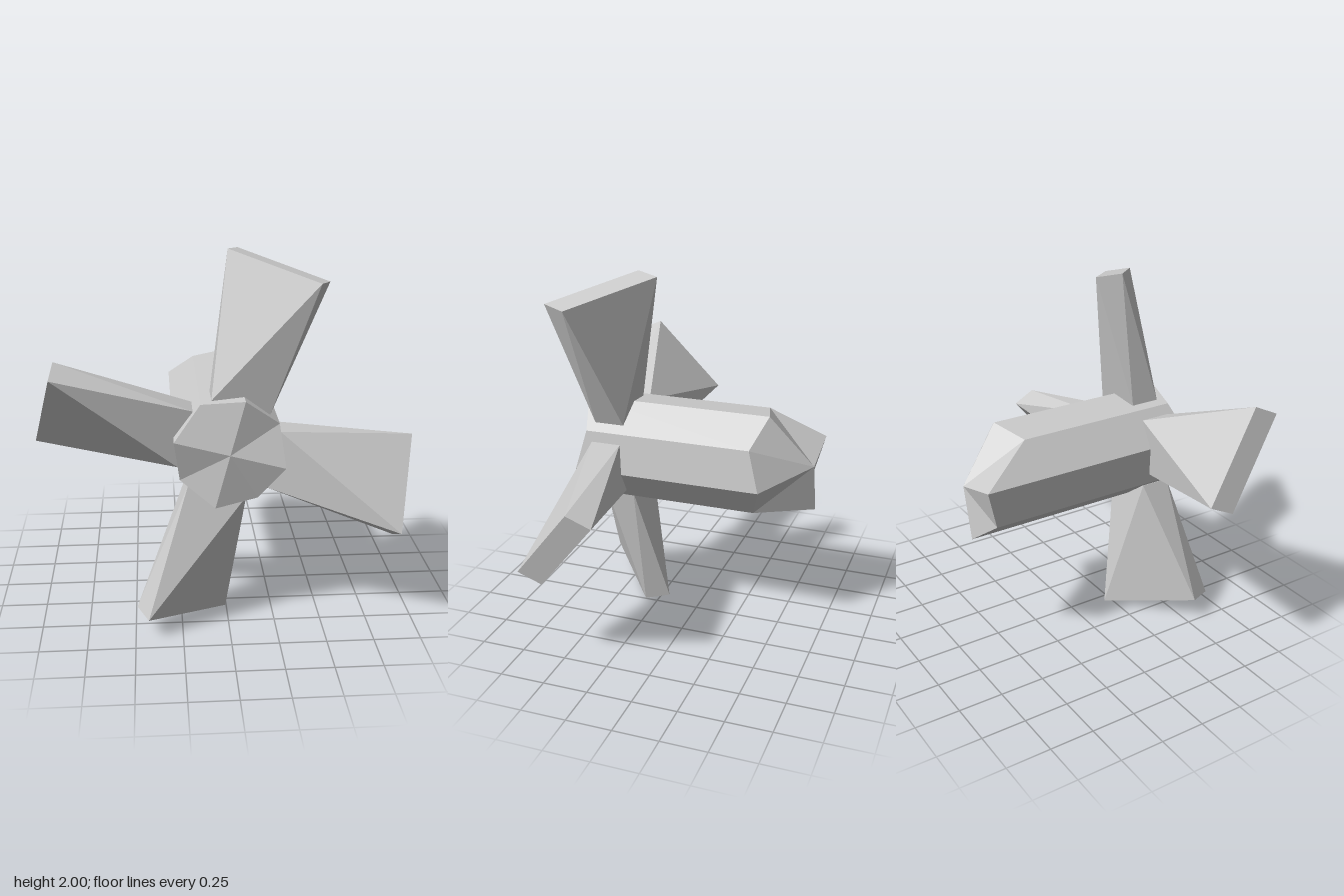
import * as THREE from 'three';

const material = new THREE.MeshStandardMaterial({ color: 0xcccccc, flatShading: true, side: THREE.DoubleSide });

// Joins two rings (counter-clockwise seen from the end ring) and caps each with a fan
function loft(start, end, startCentre, endCentre) {
  const points = [];
  const n = start.length;
  for (let i = 0; i < n; i++) {
    const j = (i + 1) % n;
    points.push(start[i], start[j], end[j], start[i], end[j], end[i]);
    points.push(endCentre, end[i], end[j], startCentre, start[j], start[i]);
  }
  const geometry = new THREE.BufferGeometry();
  geometry.setAttribute('position', new THREE.Float32BufferAttribute(points.flat(), 3));
  geometry.computeVertexNormals();
  return geometry;
}

const middle = (ring) => [0, 1, 2].map((k) => ring.reduce((sum, p) => sum + p[k], 0) / ring.length);

// Octagonal body: alternate corners bevelled at both ends, a wedge drawn out at the back
function createHub() {
  const front = [], back = [];
  for (let i = 0; i < 8; i++) {
    const angle = THREE.MathUtils.degToRad(30 + 45 * i);
    const x = 0.295 * Math.cos(angle), y = 0.295 * Math.sin(angle);
    const bevel = i % 2 === 0 ? 0.06 : 0;
    const wedge = i >= 3 && i <= 5 ? 0.235 : 0;
    front.push([x, y, 0.61 - bevel]);
    back.push([x, y, -0.44 + bevel - wedge]);
  }
  return loft(back, front, [0, 0, -0.675], [0, 0, 0.61]);
}

// Twisted blade widening from the hub to the tip
function createBlade() {
  const root = [[-0.09, 0.265, 0.515], [0.21, 0.185, 0.515], [0.21, 0.185, 0.35], [-0.09, 0.265, 0.35]];
  const tip = [[0.005, 1, 0.325], [0.43, 0.885, 0.675], [0.49, 0.87, 0.545], [0.065, 0.985, 0.195]];
  return loft(root, tip, middle(root), middle(tip));
}

export function createModel() {
  const model = new THREE.Group();
  model.name = 'windmillRotor';

  const hub = new THREE.Mesh(createHub(), material);
  hub.name = 'hub';
  hub.position.y = 1;
  model.add(hub);

  // Four blades, a quarter turn apart
  const bladeGeometry = createBlade();
  for (let i = 0; i < 4; i++) {
    const blade = new THREE.Mesh(bladeGeometry, material);
    blade.name = `blade${i + 1}`;
    blade.position.y = 1;
    blade.rotation.z = -i * Math.PI / 2;
    model.add(blade);
  }
  return model;
}
